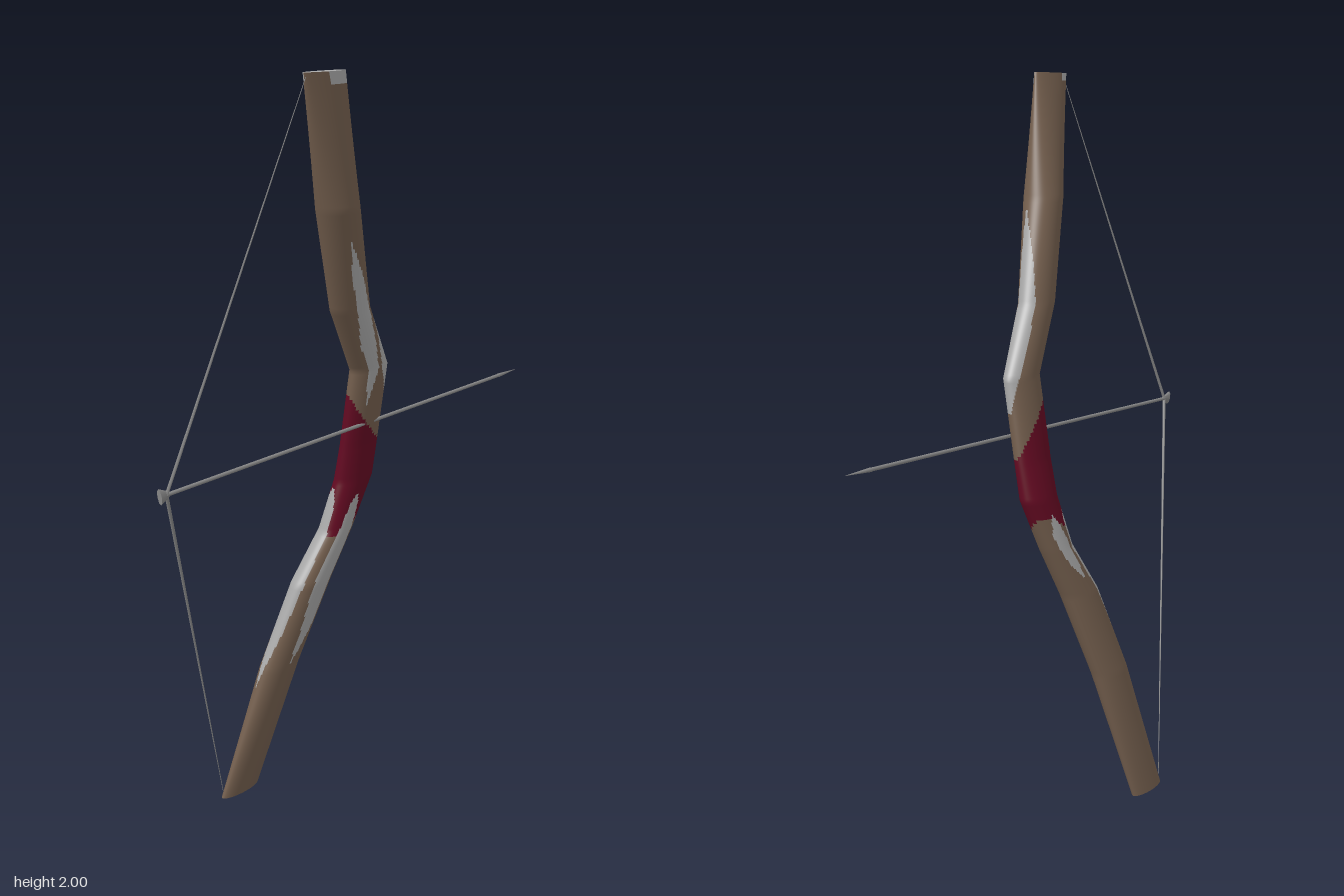
import * as THREE from 'three';

const material = (name, color) => {
  const m = new THREE.MeshStandardMaterial({ color });
  m.name = name;
  return m;
};

// Bow stations: height, xMin, xMax, zBack, zFront
const STATIONS = [
  [0.00, -0.20, -0.15, 0.235, 0.37],
  [0.38, -0.172, -0.085, 0.12, 0.26],
  [0.62, -0.145, -0.05, 0.03, 0.17],
  [0.76, -0.13, -0.042, -0.035, 0.08],
  [0.90, -0.115, -0.03, -0.095, 0.04],
  [1.00, -0.093, -0.017, -0.10, 0.035],
  [1.22, -0.055, 0.02, -0.105, 0.03],
  [1.40, -0.01, 0.08, 0.00, 0.13],
  [1.67, 0.05, 0.16, 0.09, 0.22],
  [2.00, 0.147, 0.19, 0.17, 0.31],
];
const SIDES = 72, ROWS = 200;
const LEAN = 0.18; // sections are turned to line up with the arrow

// Values of a table at height y, or null outside it
function lookUp(table, y) {
  if (y < table[0][0] || y > table[table.length - 1][0]) return null;
  let i = 0;
  while (i < table.length - 2 && y > table[i + 1][0]) i++;
  const a = table[i], b = table[i + 1], k = (y - a[0]) / (b[0] - a[0]);
  return a.map((v, n) => v + (b[n] - v) * k);
}

function ring(y) {
  const [, x0, x1, z0, z1] = lookUp(STATIONS, y);
  const depth = (z1 - z0) / 2, halfX = (x1 - x0) / 2;
  const width = Math.sqrt(Math.max(halfX ** 2 - (LEAN * depth) ** 2, 0.0001));
  const points = [];
  for (let j = 0; j < SIDES; j++) {
    const t = (j / SIDES) * Math.PI * 2, s = depth * Math.sin(t);
    points.push([(x0 + x1) / 2 + width * Math.cos(t) + LEAN * s, y, (z0 + z1) / 2 + s]);
  }
  return points;
}

// Worn patches: height, first and last angle in degrees (0 = left side, 90 = front)
const PATCHES = [
  // upper limb, side and back
  [[1.11, 20, 20], [1.2, -2, 25], [1.3, -24, 28], [1.4, -42, 8], [1.5, -20, 15], [1.59, 8, 8]],
  [[1.13, -95, -60], [1.22, -145, -18], [1.3, -145, -42], [1.4, -140, -66], [1.5, -125, -70], [1.64, -88, -80]],
  // lower limb, front, left side and right side
  [[0.33, 92, 92], [0.42, 72, 112], [0.5, 60, 122], [0.62, 52, 140], [0.75, 62, 148], [0.84, 68, 145], [0.88, 90, 100]],
  [[0.38, 0, 0], [0.5, -35, 8], [0.6, -36, 22], [0.75, -32, 25], [0.84, -14, 14], [0.86, 0, 0]],
  [[0.66, 170, 170], [0.72, 158, 195], [0.8, 163, 210], [0.86, 185, 190]],
  // chipped rim of the upper tip
  [[1.975, -85, 0], [2, -85, 0]],
  [[1.98, 85, 150], [2, 85, 150]],
];

// 0 wood, 1 grip, 2 worn patch
function paintAt(deg, y) {
  for (const patch of PATCHES) {
    const span = lookUp(patch, y);
    if (span && (deg - span[1] + 720) % 360 < span[2] - span[1]) return 2;
  }
  const wave = (offset) => Math.cos(((deg - offset) * Math.PI) / 180);
  return y > 0.8 - 0.05 * wave(40) && y < 1.08 + 0.075 * wave(110) ? 1 : 0;
}

function bowGeometry() {
  const positions = [], faces = [[], [], []];
  for (let i = 0; i <= ROWS; i++) positions.push(...ring((2 * i) / ROWS).flat());
  for (let i = 0; i < ROWS; i++) {
    for (let j = 0; j < SIDES; j++) {
      const k = (j + 1) % SIDES;
      const a = i * SIDES + j, b = i * SIDES + k, c = a + SIDES, d = b + SIDES;
      const paint = paintAt(((j + 0.5) / SIDES) * 360, (2 * (i + 0.5)) / ROWS);
      faces[paint].push(a, c, b, b, c, d);
    }
  }
  const g = new THREE.BufferGeometry();
  g.setAttribute('position', new THREE.Float32BufferAttribute(positions, 3));
  g.setIndex(faces.flat());
  let start = 0;
  faces.forEach((f, n) => {
    g.addGroup(start, f.length, n);
    start += f.length;
  });
  g.computeVertexNormals();
  return g;
}

function capGeometry(y, up) {
  const index = [];
  for (let j = 1; j < SIDES - 1; j++) index.push(0, up ? j + 1 : j, up ? j : j + 1);
  const g = new THREE.BufferGeometry();
  g.setAttribute('position', new THREE.Float32BufferAttribute(ring(y).flat(), 3));
  g.setIndex(index);
  g.computeVertexNormals();
  return g;
}

export function createModel() {
  const model = new THREE.Group();
  model.name = 'bowAndArrow';
  const wood = material('brownWood', 0x745f4e);
  const grip = material('maroonGrip', 0x640a22);
  const worn = material('paleGrey', 0xa9a9a9);
  const metal = material('midGrey', 0x868686);

  const add = (name, geometry, mat) => {
    const mesh = new THREE.Mesh(geometry, mat);
    mesh.name = name;
    model.add(mesh);
    return mesh;
  };
  // Tapered rod between two points
  const rod = (name, from, to, r0, r1, sides = 8) => {
    const dir = to.clone().sub(from);
    const mesh = add(name, new THREE.CylinderGeometry(r1, r0, dir.length(), sides), metal);
    mesh.position.copy(from).add(to).multiplyScalar(0.5);
    mesh.quaternion.setFromUnitVectors(new THREE.Vector3(0, 1, 0), dir.normalize());
    return mesh;
  };

  // Bow stave with grip and worn patches
  add('bowStave', bowGeometry(), [wood, grip, worn]);
  add('upperTip', capGeometry(2, true), worn);
  add('lowerTip', capGeometry(0, false), wood);

  // Arrow
  const tail = new THREE.Vector3(0.125, 1.05, 0.695);
  const tip = new THREE.Vector3(-0.14, 1.08, -0.695);
  const along = (k) => tail.clone().lerp(tip, k);
  rod('arrowShaft', along(0.015), along(0.94), 0.005, 0.005);
  rod('arrowHead', along(0.94), tip, 0.006, 0.0005);
  rod('arrowNock', tail, along(0.022), 0.02, 0.006).scale.x = 0.4;

  // Drawn string
  const pull = along(0.015);
  rod('upperString', pull, new THREE.Vector3(0.185, 1.99, 0.305), 0.0045, 0.0008, 6);
  rod('lowerString', pull, new THREE.Vector3(-0.165, 0.02, 0.365), 0.0045, 0.0008, 6);
  return model;
}
